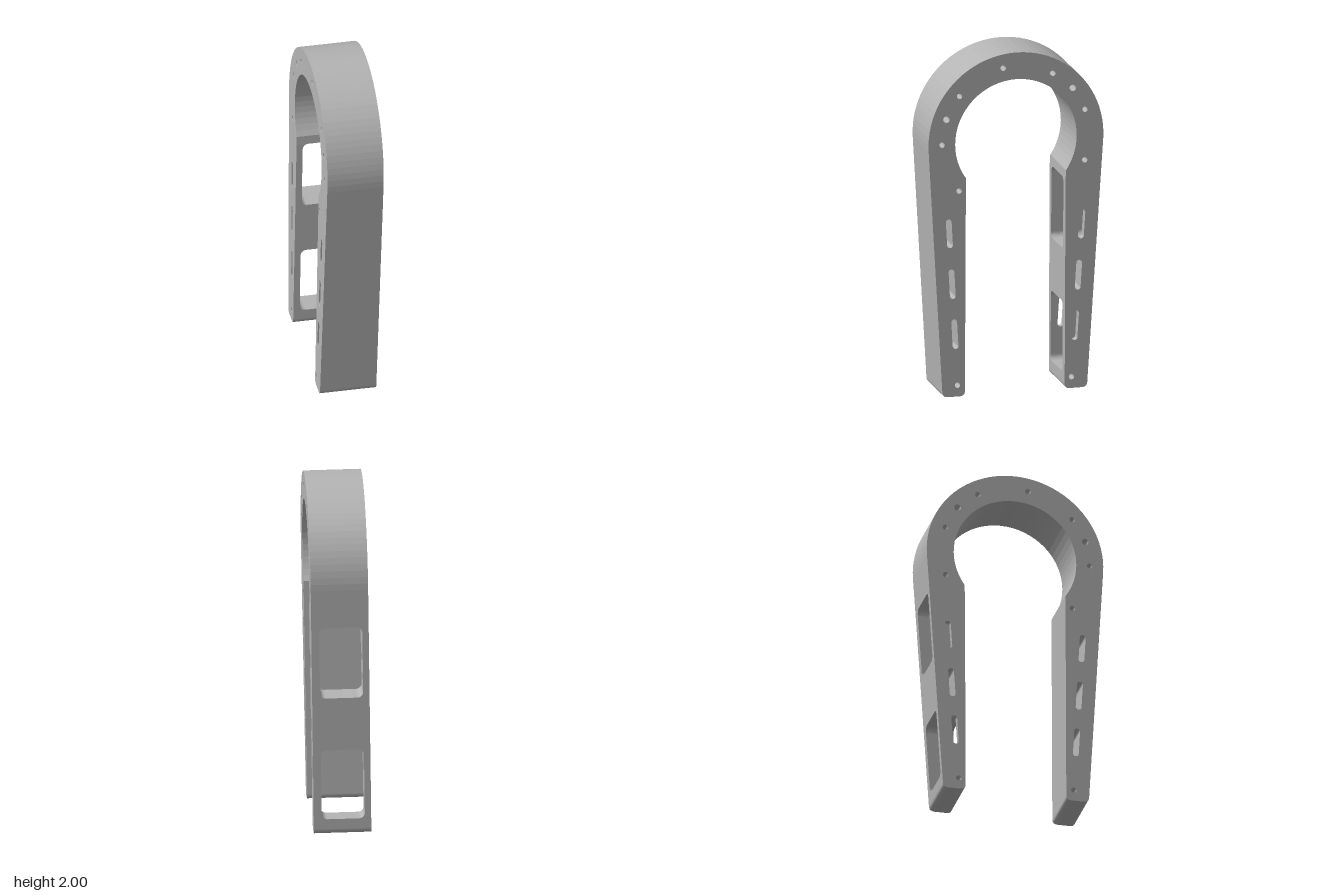
import * as THREE from 'three';

const HALF = 0.1625;            // half depth along x
const CY = 1.483, R = 0.514, RI = 0.357; // arch centre height and radii
const INNER = 0.293;            // inner face of each leg
const TILT = 0.0161;
const MOUTH = Math.asin(0.2 / RI);
const outer = (y) => 0.424 + 0.061 * y;      // sloping outer face of a leg
const slotU = (y) => 0.332 + 0.059 * y;      // slots lean with the leg
const WIN = [[0.088, 0.5], [0.81, 1.23]];    // window heights in the rear leg
const WX = [-HALF + 0.036, HALF - 0.045];    // window sides

// Profiles are drawn in (u, y) with u = -z, then extruded along x.
function slab(shape, x0, x1) {
  const g = new THREE.ExtrudeGeometry(shape, { depth: x1 - x0, bevelEnabled: false, curveSegments: 22 });
  g.rotateY(Math.PI / 2);
  g.translate(x0, 0, 0);
  return g;
}

function round(u, y, r = 0.016) {
  const p = new THREE.Path();
  p.absarc(u, y, r, 0, Math.PI * 2, true);
  return p;
}

function slot(side, y0, y1, r = 0.017) {
  const a = y0 + r, b = y1 - r;
  const tilt = side * -0.059;
  const p = new THREE.Path();
  p.absarc(side * slotU(b), b, r, tilt, Math.PI + tilt, false);
  p.absarc(side * slotU(a), a, r, Math.PI + tilt, Math.PI * 2 + tilt, false);
  p.closePath();
  return p;
}

// Straight length of the rear leg between two heights
function legShape(y0, y1, holes) {
  const s = new THREE.Shape();
  s.moveTo(INNER, y0);
  s.lineTo(outer(y0), y0);
  s.lineTo(outer(y1), y1);
  s.lineTo(INNER, y1);
  s.closePath();
  s.holes.push(...holes);
  return s;
}

// Rear leg foot with rounded lower corners
function footShape(y1) {
  const r = 0.03, s = new THREE.Shape();
  s.moveTo(INNER, y1);
  s.lineTo(INNER, r);
  s.quadraticCurveTo(INNER, 0, INNER + r, 0);
  s.lineTo(outer(0) - r, 0);
  s.quadraticCurveTo(outer(0), 0, outer(r), r);
  s.lineTo(outer(y1), y1);
  s.closePath();
  s.holes.push(round(0.333, 0.066));
  return s;
}

// Arch with the complete front leg and the top of the rear leg
function archShape() {
  const r = 0.03, yTop = WIN[1][1], s = new THREE.Shape();
  s.moveTo(INNER, yTop);
  s.lineTo(outer(yTop), yTop);
  s.absarc(0, CY, R, -0.061, Math.PI + 0.061, false);
  s.lineTo(-outer(r), r);
  s.quadraticCurveTo(-outer(0), 0, -outer(0) + r, 0);
  s.lineTo(-INNER - r, 0);
  s.quadraticCurveTo(-INNER, 0, -INNER, r);
  s.lineTo(-INNER, CY - 0.2);
  s.absarc(0, CY, RI, Math.PI + MOUTH, -MOUTH, true);
  s.closePath();
  const pins = [[-0.077, 1.91], [0.215, 1.858], [-0.333, 1.763], [0.333, 1.763, 0.019],
    [-0.409, 1.632, 0.019], [0.405, 1.632], [-0.434, 1.484], [0.405, 1.335],
    [-0.333, 1.207], [-0.337, 0.066]];
  for (const p of pins) s.holes.push(round(...p));
  for (const [a, b] of [[0.28, 0.455], [0.575, 0.75], [0.875, 1.045]]) s.holes.push(slot(-1, a, b));
  return s;
}

// Rounded inside corner of a window, spanning the leg's thickness
function corner(x, y, sx, sy) {
  const r = 0.032, pts = [[0, 0]];
  for (let i = 0; i <= 6; i++) {
    const a = (i / 6) * Math.PI / 2;
    pts.push([r * (1 - Math.sin(a)), r * (1 - Math.cos(a))]);
  }
  const s = new THREE.Shape(pts.map(([a, b]) => new THREE.Vector2(x + sx * a, y + sy * b)));
  const g = new THREE.ExtrudeGeometry(s, { depth: 1, bevelEnabled: false });
  const p = g.attributes.position;
  for (let i = 0; i < p.count; i++) p.setZ(i, p.getZ(i) > 0.5 ? -INNER : -outer(p.getY(i)));
  g.computeVertexNormals();
  return g;
}

export function createModel() {
  const grey = new THREE.MeshStandardMaterial({ color: 0xb4b4b4 });
  grey.name = 'grey';
  const model = new THREE.Group();
  model.name = 'archedFrame';
  const body = new THREE.Group();
  body.name = 'tiltedBody';
  const add = (name, g) => {
    const m = new THREE.Mesh(g, grey);
    m.name = name;
    body.add(m);
  };

  add('archAndFrontLeg', slab(archShape(), -HALF, HALF));
  add('rearFoot', slab(footShape(WIN[0][0]), -HALF, HALF));
  add('rearCrossbar', slab(legShape(WIN[0][1], WIN[1][0], [slot(1, 0.575, 0.75)]), -HALF, HALF));

  // Slotted cheeks on both sides of each window
  const slots = [[0.28, 0.455], [0.875, 1.045]];
  WIN.forEach(([y0, y1], i) => {
    const cheek = () => legShape(y0, y1, [slot(1, ...slots[i])]);
    add('rightWindowCheek', slab(cheek(), -HALF, WX[0]));
    add('leftWindowCheek', slab(cheek(), WX[1], HALF));
    for (const sx of [1, -1]) for (const sy of [1, -1]) {
      add('windowCorner', corner(sx > 0 ? WX[0] : WX[1], sy > 0 ? y0 : y1, sx, sy));
    }
  });

  // Slight sideways lean
  body.rotation.z = -TILT;
  body.position.set(-0.0161, 0.0026, 0);
  model.add(body);
  return model;
}
